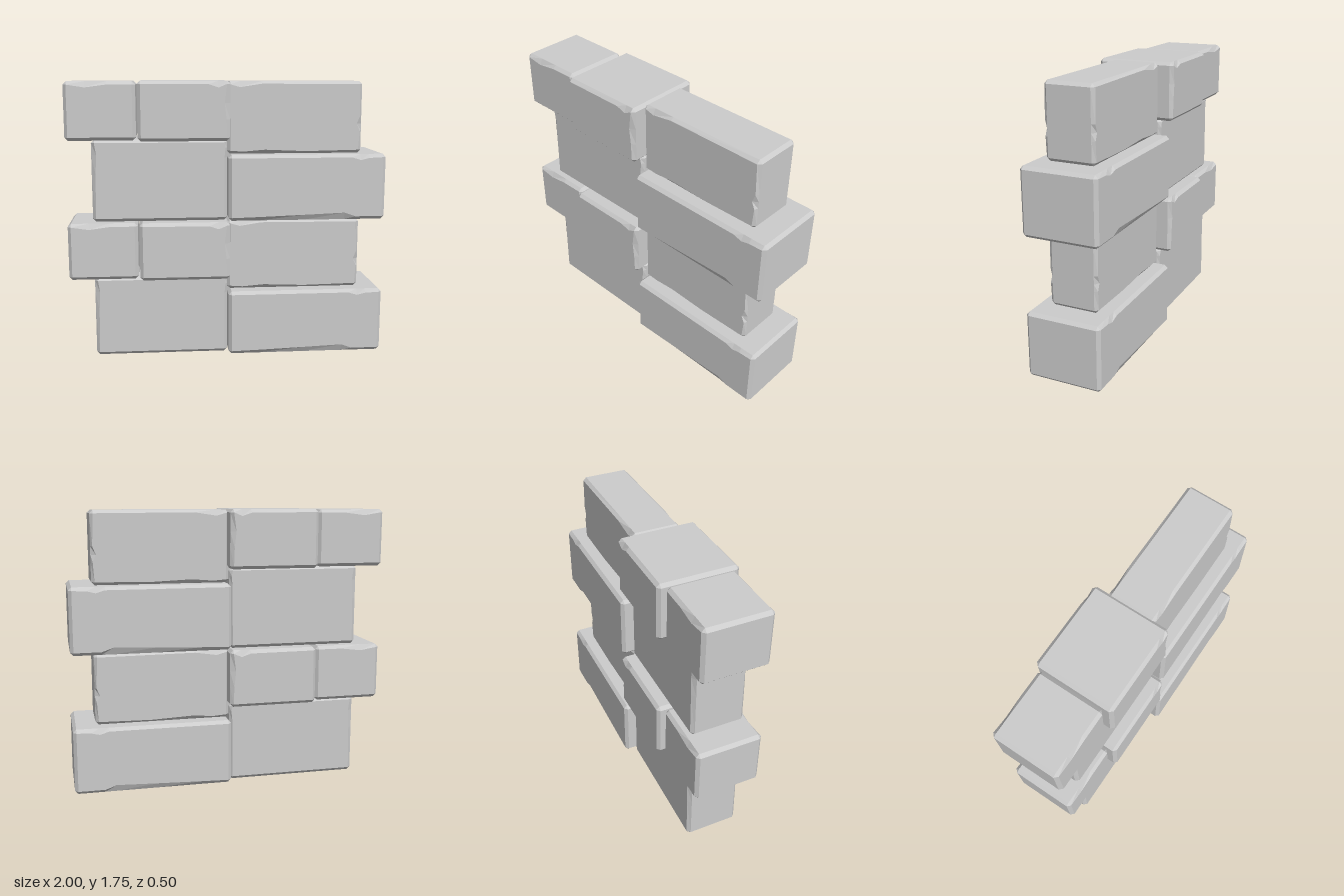
import * as THREE from 'three';

const BEVEL = 0.02;

// Bevelled stone block. Chips are [position along edge, depth of wear] lists
// that widen the bevel on both the front and the back rim.
function blockGeometry({ x: [x0, x1], y: [y0, y1], depth, chips = {} }) {
  const c = BEVEL, inner = [], outer = [];
  const edge = (list, from, to, place) => {
    const sorted = [...(list || [])].sort((a, b) => (a[0] - b[0]) * Math.sign(to - from));
    for (const [t, d] of [[from, c], ...sorted, [to, c]]) {
      inner.push(place(t, d));
      outer.push(place(t, 0));
    }
  };
  // Walk the outline counter-clockwise
  edge(chips.bottom, x0 + c, x1 - c, (t, d) => [t, y0 + d]);
  edge(chips.right, y0 + c, y1 - c, (t, d) => [x1 - d, t]);
  edge(chips.top, x1 - c, x0 + c, (t, d) => [t, y1 - d]);
  edge(chips.left, y1 - c, y0 + c, (t, d) => [x0 + d, t]);

  const rings = [[inner, -depth], [outer, c - depth], [outer, depth - c], [inner, depth]]
    .map(([pts, z]) => pts.map(([x, y]) => new THREE.Vector3(x, y, z)));
  const positions = [];
  const triangle = (a, b, d) => {
    const area = b.clone().sub(a).cross(d.clone().sub(a)).length();
    if (area > 1e-8) for (const p of [a, b, d]) positions.push(p.x, p.y, p.z);
  };
  const n = inner.length, mx = (x0 + x1) / 2, my = (y0 + y1) / 2;
  const back = new THREE.Vector3(mx, my, -depth), front = new THREE.Vector3(mx, my, depth);
  for (let i = 0; i < n; i++) {
    const j = (i + 1) % n;
    for (let r = 0; r < 3; r++) {
      triangle(rings[r][i], rings[r][j], rings[r + 1][j]);
      triangle(rings[r][i], rings[r + 1][j], rings[r + 1][i]);
    }
    triangle(front, rings[3][i], rings[3][j]);
    triangle(back, rings[0][j], rings[0][i]);
  }
  const geometry = new THREE.BufferGeometry();
  geometry.setAttribute('position', new THREE.Float32BufferAttribute(positions, 3));
  geometry.computeVertexNormals();
  return geometry;
}

// The five blocks of one course; depth is half the thickness
const BLOCKS = {
  lowerLeftBlock: {
    x: [-0.845, 0], y: [0, 0.515], depth: 0.17,
    chips: { left: [[0.42, 0.032], [0.3, 0.025]], right: [[0.46, 0.012], [0.4, 0.018]] },
  },
  lowerRightBlock: {
    x: [0.003, 0.998], y: [0.005, 0.42], depth: 0.24,
    chips: {
      top: [[0.78, 0.02], [0.835, 0.037], [0.89, 0.024]],
      bottom: [[0.2, 0.025], [0.48, 0.035], [0.74, 0.045], [0.81, 0.02]],
    },
  },
  upperRightBlock: {
    x: [0, 0.855], y: [0.42, 0.871], depth: 0.155,
    chips: {
      top: [[0.08, 0.037], [0.22, 0.016]],
      right: [[0.655, 0.012], [0.605, 0.032], [0.56, 0.012]],
      bottom: [[0.1, 0.014], [0.24, 0.025], [0.5, 0.014]],
    },
  },
  upperMiddleBlock: {
    x: [-0.555, 0.012], y: [0.508, 0.875], depth: 0.25,
    chips: {
      top: [[-0.12, 0.022], [-0.06, 0.042]],
      right: [[0.74, 0.035], [0.64, 0.024]],
    },
  },
  upperLeftBlock: {
    x: [-1, -0.565], y: [0.512, 0.871], depth: 0.21,
    chips: { top: [[-0.87, 0.037], [-0.74, 0.02]] },
  },
};

export function createModel() {
  const wall = new THREE.Group();
  wall.name = 'stoneWall';
  const material = new THREE.MeshStandardMaterial({ color: 0xcccccc, flatShading: true });
  const geometries = Object.entries(BLOCKS).map(([name, spec]) => [name, blockGeometry(spec)]);
  // Two identical courses, stacked
  ['lowerCourse', 'upperCourse'].forEach((courseName, i) => {
    const course = new THREE.Group();
    course.name = courseName;
    course.position.y = i * 0.875;
    for (const [name, geometry] of geometries) {
      const mesh = new THREE.Mesh(geometry, material);
      mesh.name = name;
      course.add(mesh);
    }
    wall.add(course);
  });
  return wall;
}
